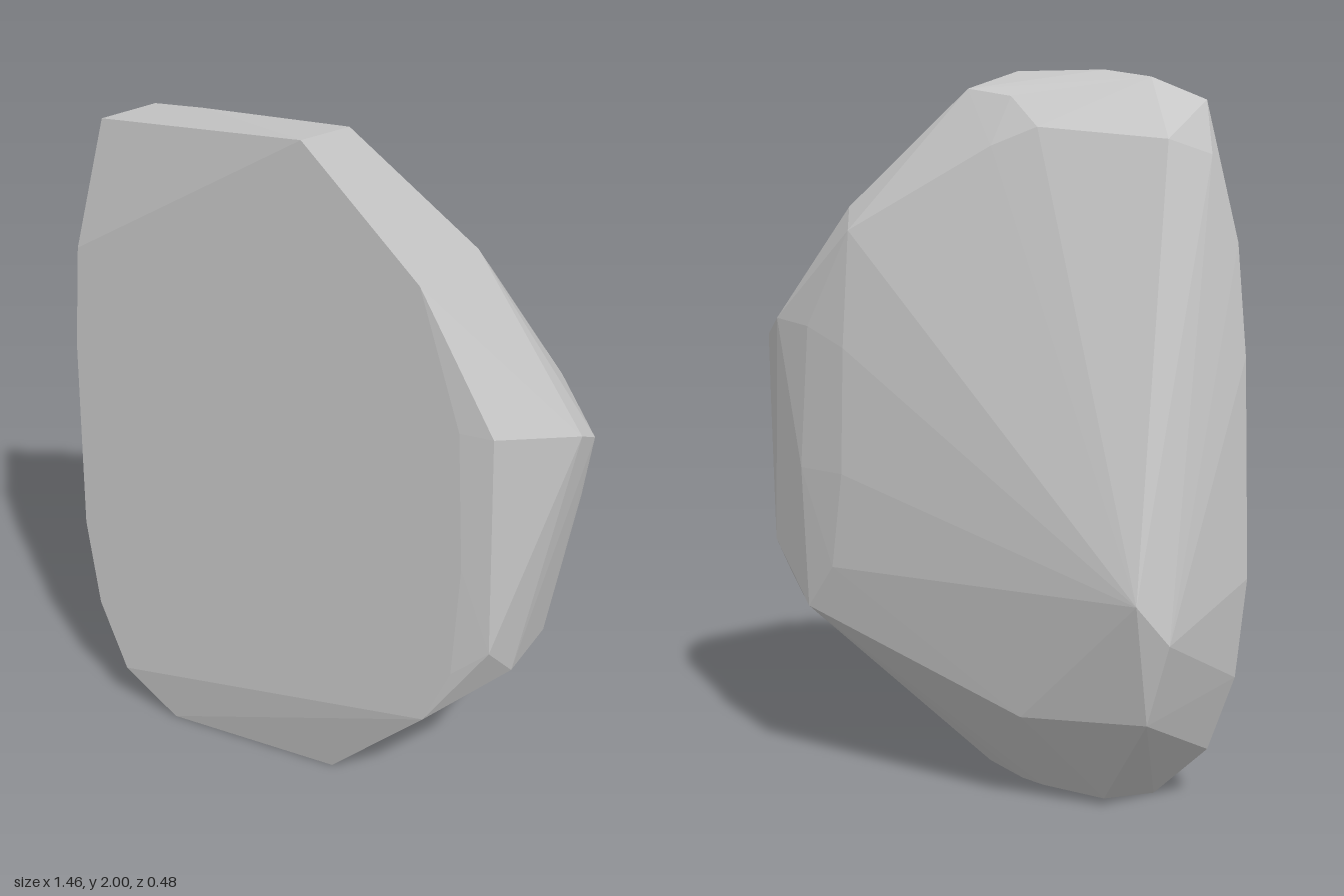
import * as THREE from 'three';
import { ConvexGeometry } from 'three/addons/geometries/ConvexGeometry.js';

const v = (x, y, z) => new THREE.Vector3(x, y, z);

export function createModel() {
  const group = new THREE.Group();
  group.name = 'rock';
  const stone = new THREE.MeshStandardMaterial({ color: 0xc6c6c6 });
  stone.name = 'paleGreyStone';

  // Flat front face, clockwise from the top
  const front = [
    [0.02, 2.0], [0.35, 1.69], [0.47, 1.31], [0.49, 0.9], [0.47, 0.55], [0.39, 0.36],
    [-0.62, 0.15], [-0.7, 0.37], [-0.73, 0.65], [-0.71, 1.25], [-0.68, 1.55],
  ].map(([x, y]) => v(x, y, 0.24));

  // Chipped top edge
  const top = [
    v(-0.3, 2.0, 0.18), v(-0.45, 1.98, 0.17), v(-0.6, 1.92, 0.2),
    v(0.02, 1.95, 0), v(-0.12, 1.93, 0), v(-0.22, 1.85, -0.025), v(-0.1, 1.8, -0.066),
    v(-0.55, 1.82, 0.09), v(-0.63, 1.78, 0.18), v(-0.6, 1.6, 0.1),
  ];

  // Pointed right side
  const side = [
    v(0.56, 1.31, 0.228), v(0.575, 0.65, 0.228),
    v(0.73, 1.29, 0.07), v(0.73, 1.24, -0.02), v(0.69, 1.03, -0.06),
    v(0.6, 0.66, -0.15), v(0.6, 0.54, -0.08), v(0.6, 0.54, 0.13),
    v(0.57, 1.31, -0.165),
  ];

  // Sloping back
  const back = [
    v(0.33, 1.63, -0.13), v(0.28, 1.57, -0.2), v(0.28, 1.25, -0.228), v(0.28, 0.9, -0.24),
    v(0.32, 0.63, -0.235), v(0.42, 0.5, -0.22), v(0.42, 1.3, -0.21), v(0.44, 0.9, -0.222),
    v(-0.62, 0.64, -0.16), v(-0.68, 0.53, -0.09),
    v(-0.245, 0.27, -0.13), v(-0.61, 0.3, -0.08),
  ];

  // Small flat foot
  const foot = [
    v(0.06, 0, 0.17), v(-0.47, 0, 0.21), v(-0.38, 0, 0.09), v(-0.18, 0, 0.085), v(-0.1, 0, 0.1),
  ];

  const body = new THREE.Mesh(new ConvexGeometry([...front, ...top, ...side, ...back, ...foot]), stone);
  body.name = 'rockBody';
  group.add(body);
  return group;
}
